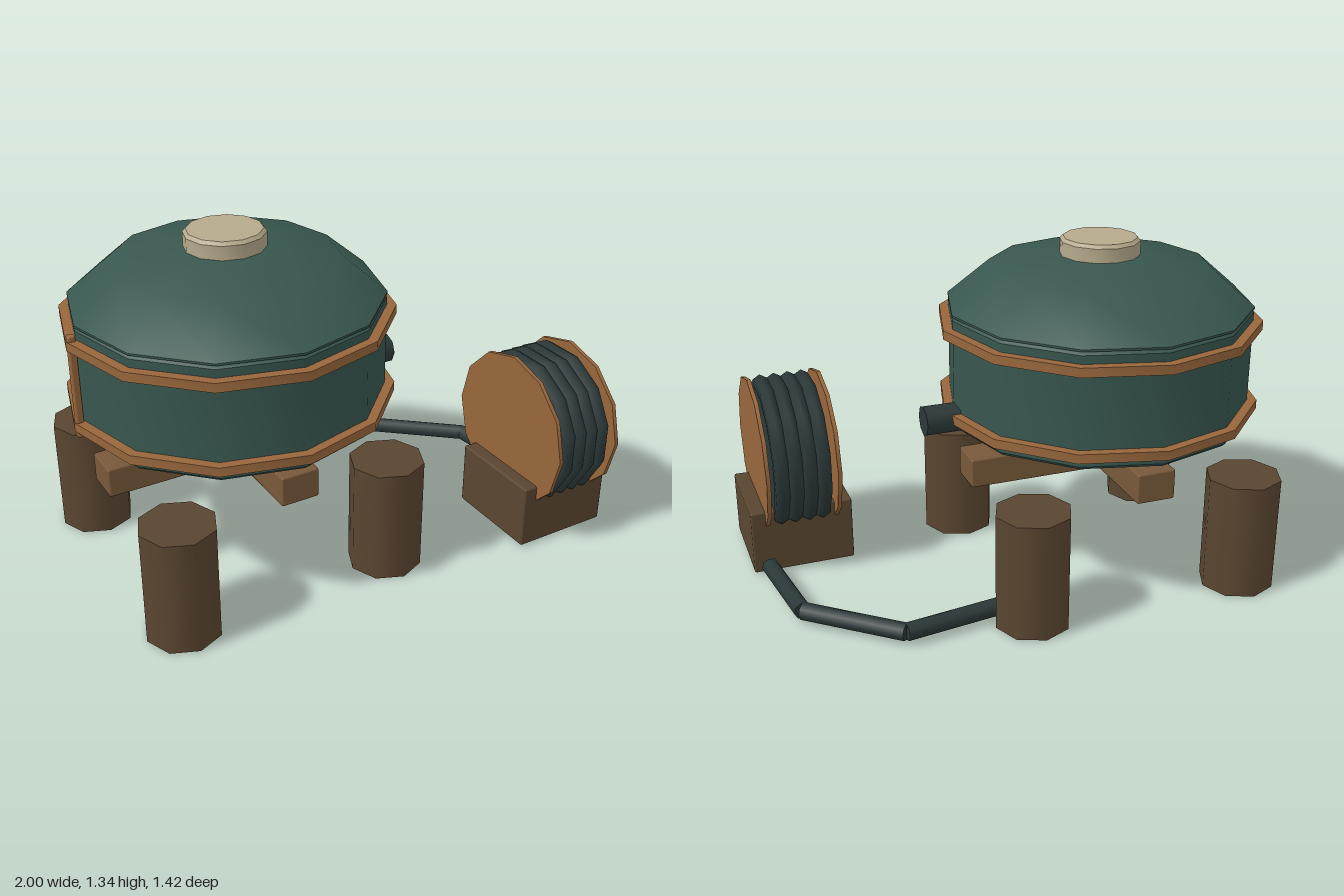
import * as THREE from 'three';
import { toCreasedNormals } from 'three/addons/utils/BufferGeometryUtils.js';
import { RoundedBoxGeometry } from 'three/addons/geometries/RoundedBoxGeometry.js';

const mat = (name, color) => {
  const m = new THREE.MeshStandardMaterial({ color });
  m.name = name;
  return m;
};

export function createModel() {
  const tankGreen = mat('tank green', 0x38574f);
  const copper = mat('copper', 0x98673c);
  const darkWood = mat('dark wood', 0x5a4630);
  const beamWood = mat('beam wood', 0x78593a);
  const rubber = mat('rubber', 0x2b3838);
  const cream = mat('cream', 0xb6aa8c);

  const model = new THREE.Group();
  model.name = 'waterTank';
  const add = (name, geo, material, x = 0, y = 0, z = 0, parent = model) => {
    const mesh = new THREE.Mesh(geo, material);
    mesh.name = name;
    mesh.position.set(x, y, z);
    parent.add(mesh);
    return mesh;
  };
  // Twelve-sided turned shape: smooth around, sharp along the profile corners
  const turned = (points) => toCreasedNormals(
    new THREE.LatheGeometry(points.map(([r, y]) => new THREE.Vector2(r, y)), 12), 0.6);
  const box = (w, h, d) => new RoundedBoxGeometry(w, h, d, 1, 0.008);

  // Tank with lid, cap, bands and seam
  const tank = new THREE.Group();
  tank.name = 'tank';
  tank.position.set(-0.368, 0, -0.077);
  model.add(tank);
  add('tankBody', turned([[0, 0.635], [0.583, 0.635], [0.595, 0.648], [0.595, 1.07], [0.585, 1.08], [0, 1.08]]), tankGreen, 0, 0, 0, tank);
  add('tankLid', turned([[0, 1.082], [0.597, 1.084], [0.597, 1.092], [0.428, 1.235], [0.155, 1.276], [0, 1.28]]), tankGreen, 0, 0, 0, tank);
  add('lidCap', turned([[0, 1.27], [0.155, 1.27], [0.155, 1.33], [0.143, 1.343], [0, 1.343]]), cream, 0, 0, 0, tank);
  for (const y of [0.695, 1.02]) {
    add('tankBand', turned([[0.585, -0.018], [0.632, -0.018], [0.632, 0.018], [0.585, 0.018], [0.585, -0.018]]), copper, 0, y, 0, tank);
  }
  add('seamStrip', box(0.03, 0.41, 0.03), copper, -0.612, 0.855, 0, tank);
  const outlet = add('outlet', new THREE.CylinderGeometry(0.06, 0.06, 0.25, 8), rubber, 0.593, 0.685, 0, tank);
  outlet.rotation.z = Math.PI / 2;

  // Four posts and the crossed beams
  for (const x of [-0.805, 0.072]) {
    for (const z of [-0.516, 0.362]) {
      add('leg', new THREE.CylinderGeometry(0.147, 0.147, 0.464, 8), darkWood, x, 0.232, z);
    }
  }
  add('lowerBeam', box(1.1, 0.118, 0.152), beamWood, -0.368, 0.464, -0.075);
  add('upperBeam', box(0.152, 0.118, 1.1), beamWood, -0.368, 0.534, -0.077);

  // Hose reel on its box
  const reel = new THREE.Group();
  reel.name = 'hoseReel';
  reel.position.set(0.79, 0.445, 0.388);
  model.add(reel);
  add('reelBox', box(0.41, 0.265, 0.408), darkWood, 0.791, 0.1425, 0.386);
  for (const side of [-1, 1]) {
    const flange = add('reelFlange', new THREE.CylinderGeometry(0.319, 0.319, 0.016, 12), copper, side * 0.14, 0, 0, reel);
    flange.rotation.z = Math.PI / 2;
  }
  const core = add('reelCore', new THREE.CylinderGeometry(0.27, 0.27, 0.22, 12), rubber, 0, 0, 0, reel);
  core.rotation.z = Math.PI / 2;
  for (let i = 0; i < 4; i++) {
    const coil = new THREE.TorusGeometry(0.284, 0.032, 6, 12).rotateZ(Math.PI / 12).rotateY(Math.PI / 2);
    add('hoseCoil', coil, rubber, -0.084 + i * 0.056, 0, 0, reel);
  }

  // Ground hose in straight lengths from post to reel box
  const path = [[0.1, -0.44], [0.56, -0.5], [0.885, -0.225], [0.938, 0.155]]
    .map(([x, z]) => new THREE.Vector3(x, 0.048, z));
  for (let i = 0; i < path.length - 1; i++) {
    const dir = path[i + 1].clone().sub(path[i]);
    const mid = path[i].clone().add(path[i + 1]).multiplyScalar(0.5);
    const length = add('hoseLength', new THREE.CylinderGeometry(0.034, 0.034, dir.length(), 8), rubber, mid.x, mid.y, mid.z);
    length.quaternion.setFromUnitVectors(new THREE.Vector3(0, 1, 0), dir.normalize());
  }

  return model;
}
